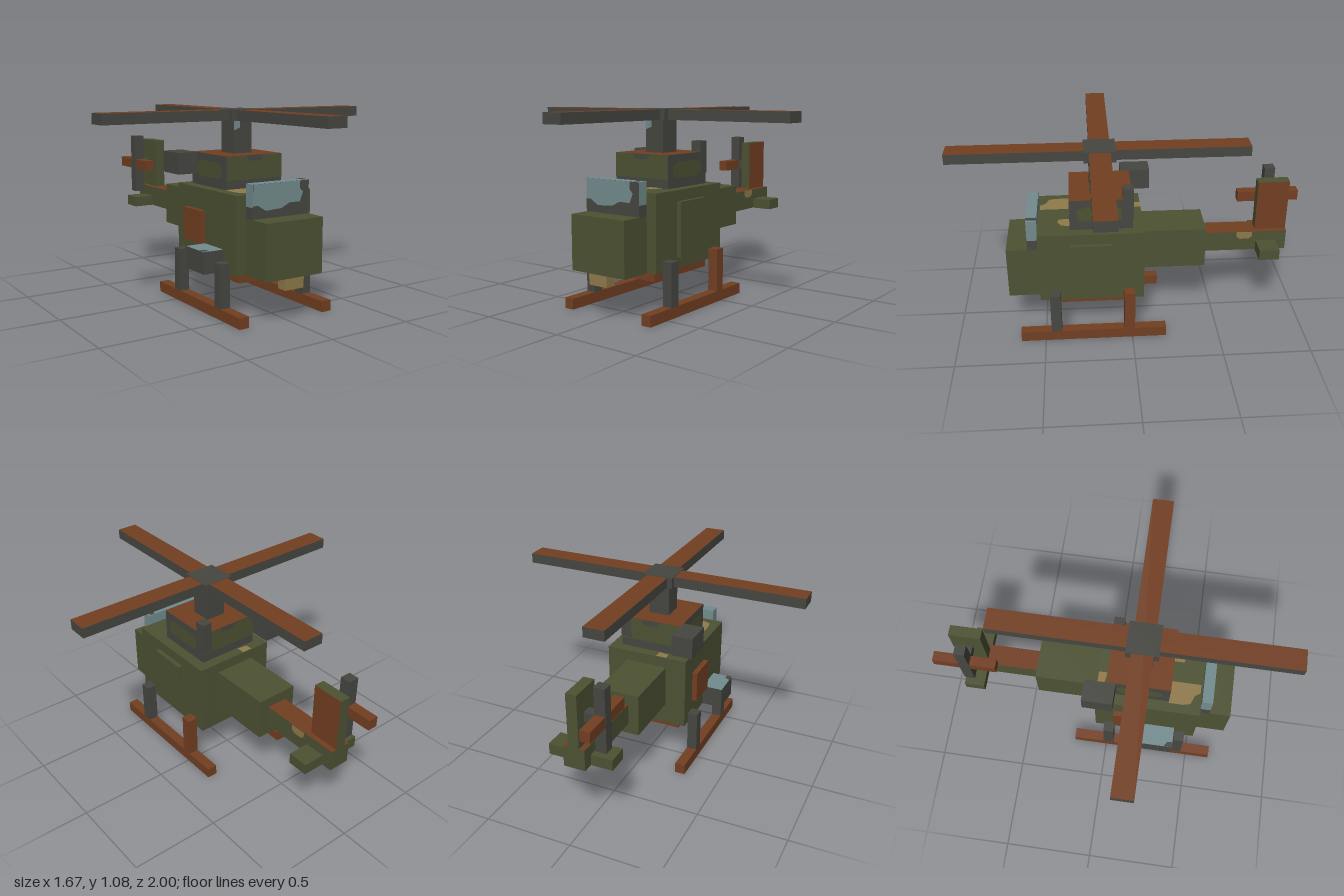
import * as THREE from 'three';

const material = (name, color) => {
  const m = new THREE.MeshStandardMaterial({ color });
  m.name = name;
  return m;
};

export function createModel() {
  const model = new THREE.Group();
  model.name = 'helicopter';

  const olive = material('olive', 0x4d5233);
  const rust = material('rust', 0x733f22);
  const dark = material('charcoal', 0x464641);
  const glass = material('glass', 0x738c8e);
  const tan = material('tan', 0x8f7a4a);

  // Box from its ranges; faces overrides the colour of single sides.
  const order = ['px', 'nx', 'py', 'ny', 'pz', 'nz'];
  function box(name, mat, [x0, x1], [y0, y1], [z0, z1], faces) {
    const geo = new THREE.BoxGeometry(x1 - x0, y1 - y0, z1 - z0);
    const mesh = new THREE.Mesh(geo, faces ? order.map((k) => faces[k] || mat) : mat);
    mesh.position.set((x0 + x1) / 2, (y0 + y1) / 2, (z0 + z1) / 2);
    mesh.name = name;
    model.add(mesh);
  }

  // Flat painted patch; points are world coordinates in the plane of the side:
  // (z, y) for px and nx, (x, z) for py, (x, y) for pz and nz.
  const sides = {
    px: { flip: [-1, 1], turn: [0, Math.PI / 2], axis: 'x', out: 1 },
    nx: { flip: [1, 1], turn: [0, -Math.PI / 2], axis: 'x', out: -1 },
    py: { flip: [1, -1], turn: [-Math.PI / 2, 0], axis: 'y', out: 1 },
    pz: { flip: [1, 1], turn: [0, 0], axis: 'z', out: 1 },
    nz: { flip: [-1, 1], turn: [0, Math.PI], axis: 'z', out: -1 },
  };
  function patch(name, mat, side, at, points) {
    const { flip, turn, axis, out } = sides[side];
    const shape = new THREE.Shape(points.map(([u, v]) => new THREE.Vector2(u * flip[0], v * flip[1])));
    const mesh = new THREE.Mesh(new THREE.ShapeGeometry(shape), mat);
    mesh.rotation.set(turn[0], turn[1], 0);
    mesh.position[axis] = at + out * 0.003;
    mesh.name = name;
    model.add(mesh);
  }

  // Fuselage
  box('cabin', olive, [-0.24, 0.24], [0.24, 0.66], [-0.07, 0.52]);
  box('nose', olive, [-0.18, 0.18], [0.24, 0.54], [0.52, 0.7]);
  box('belly', rust, [-0.18, 0.18], [0.18, 0.24], [-0.01, 0.46]);
  box('noseLight', tan, [-0.06, 0.06], [0.18, 0.24], [0.64, 0.7]);
  box('leftDoor', olive, [0.24, 0.265], [0.3, 0.6], [0.11, 0.34]);
  box('rightDoor', rust, [-0.27, -0.24], [0.36, 0.54], [0.04, 0.22]);
  box('sidePod', dark, [-0.36, -0.24], [0.24, 0.36], [0.22, 0.4], { py: glass });
  patch('podTopShade', dark, 'py', 0.36, [[-0.36, 0.4], [-0.33, 0.4], [-0.33, 0.37], [-0.36, 0.35]]);
  patch('roofPatchRight', tan, 'py', 0.66, [[-0.19, 0.34], [-0.06, 0.34], [-0.06, 0.51], [-0.11, 0.51],
    [-0.13, 0.48], [-0.18, 0.46], [-0.19, 0.42]]);
  patch('roofPatchLeft', tan, 'py', 0.66, [[0.06, 0.34], [0.14, 0.34], [0.13, 0.39], [0.09, 0.41], [0.06, 0.4]]);
  patch('roofPatchRear', tan, 'py', 0.66, [[-0.12, -0.07], [-0.06, -0.07], [-0.06, -0.02], [-0.12, -0.03]]);

  // Windshield with a dark frame
  box('windshieldBase', dark, [-0.18, 0.18], [0.54, 0.6], [0.52, 0.58]);
  box('windshield', glass, [-0.18, 0.18], [0.6, 0.72], [0.52, 0.58], { pz: dark });
  patch('windshieldPane', glass, 'pz', 0.58, [[-0.18, 0.72], [0.12, 0.72], [0.12, 0.68], [0.14, 0.66], [0.12, 0.61],
    [0.05, 0.61], [0, 0.585], [-0.1, 0.58], [-0.15, 0.61], [-0.18, 0.61]]);
  patch('frameCorner', dark, 'py', 0.72, [[0.14, 0.52], [0.17, 0.52], [0.17, 0.58], [0.14, 0.58]]);

  // Engine housing
  box('engineHousing', dark, [-0.18, 0.18], [0.66, 0.84], [-0.01, 0.34], { py: rust });
  for (const [side, at] of [['px', 0.18], ['nx', -0.18]]) {
    patch('enginePatch', olive, side, at, [[0.05, 0.73], [0.08, 0.71], [0.28, 0.715], [0.3, 0.74], [0.3, 0.78],
      [0.25, 0.8], [0.08, 0.8], [0.05, 0.78]]);
  }
  for (const [side, at] of [['pz', 0.34], ['nz', -0.01]]) {
    patch('enginePatch', olive, side, at, [[-0.18, 0.71], [0.18, 0.71], [0.18, 0.84], [0.06, 0.84], [0.04, 0.81],
      [-0.04, 0.81], [-0.06, 0.84], [-0.18, 0.84]]);
  }
  box('exhaust', dark, [-0.3, -0.18], [0.72, 0.84], [-0.13, 0.04]);
  box('antenna', dark, [0.122, 0.182], [0.72, 0.9], [-0.015, 0.045]);

  // Main rotor
  box('mast', dark, [-0.06, 0.06], [0.84, 1.02], [0.105, 0.225]);
  patch('mastPatch', glass, 'pz', 0.225, [[-0.06, 1.02], [-0.02, 1.02], [-0.02, 0.98], [-0.06, 0.965]]);
  box('rotorBladesAcross', dark, [-0.835, 0.835], [1.02, 1.077], [0.105, 0.222], { py: rust });
  box('rotorBladesAlong', dark, [-0.06, 0.06], [1.02, 1.077], [-0.67, 1], { py: rust });
  box('rotorHub', dark, [-0.09, 0.09], [1.019, 1.08], [0.075, 0.252]);

  // Tail
  box('tailBoomFront', olive, [-0.12, 0.12], [0.36, 0.6], [-0.43, -0.07], { ny: rust });
  box('tailBoomRear', olive, [-0.06, 0.06], [0.42, 0.54], [-0.91, -0.43], { py: rust });
  patch('tailPatch', tan, 'px', 0.06, [[-0.62, 0.54], [-0.71, 0.54], [-0.71, 0.51], [-0.69, 0.495], [-0.64, 0.495], [-0.62, 0.51]]);
  box('stabilizer', olive, [-0.18, 0.18], [0.419, 0.48], [-0.85, -0.735]);
  box('tailFin', olive, [-0.03, 0.03], [0.54, 0.84], [-0.91, -0.73], { px: rust });
  box('tailRotorHub', dark, [-0.148, -0.03], [0.663, 0.717], [-0.847, -0.793]);
  box('tailRotorBladeLevel', rust, [-0.147, -0.09], [0.66, 0.72], [-1, -0.643]);
  box('tailRotorBladeUpright', dark, [-0.149, -0.088], [0.51, 0.87], [-0.85, -0.79]);

  // Landing skids
  for (const s of [1, -1]) {
    const x = s > 0 ? [0.24, 0.298] : [-0.298, -0.24];
    box('skid', rust, x, [0, 0.06], [-0.195, 0.64]);
    box('frontStrut', dark, x, [0.06, 0.3], [0.405, 0.465]);
    box('rearStrut', s > 0 ? rust : dark, x, [0.06, 0.3], [-0.015, 0.045]);
  }
  return model;
}
